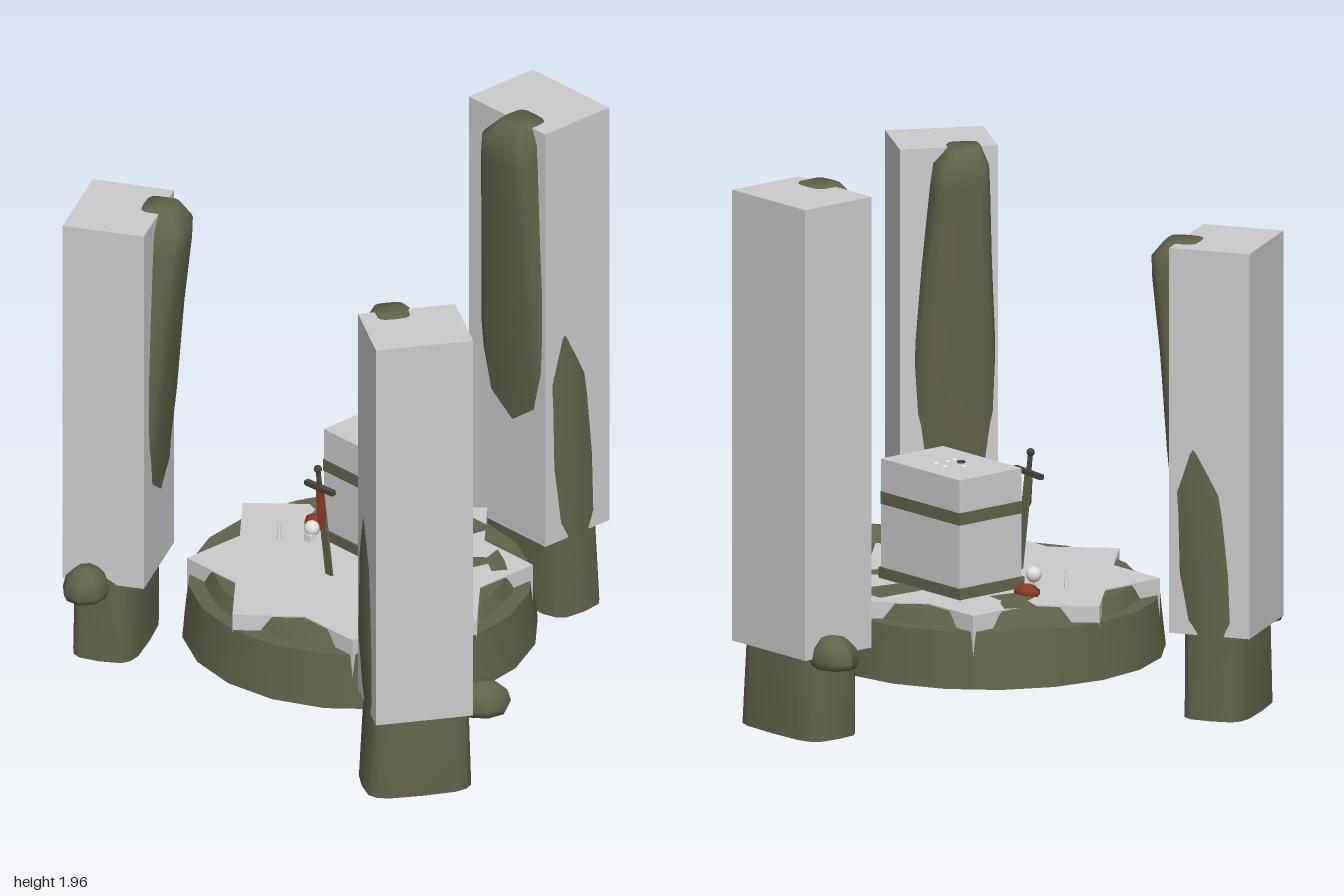
import * as THREE from 'three';

const mat = (name, color) => Object.assign(new THREE.MeshStandardMaterial({ color }), { name });

export function createModel() {
  const model = new THREE.Group();
  model.name = 'stoneShrine';
  const pale = mat('paleStone', 0xcccccc);
  const moss = mat('mossStone', 0x62634a);
  const red = mat('redCloth', 0x8a3a22);
  const bone = mat('bone', 0xe2e2de);
  const iron = mat('darkIron', 0x47473a);
  const cloth = mat('clothSheet', 0x8a3a22);
  cloth.side = THREE.DoubleSide;

  function add(name, geo, material, x = 0, y = 0, z = 0, parent = model) {
    const m = new THREE.Mesh(geo, material);
    m.name = name;
    m.position.set(x, y, z);
    parent.add(m);
    return m;
  }
  const box = (w, h, d) => new THREE.BoxGeometry(w, h, d);

  // Round platform: tapered wall, ledge and raised step
  const cx = -0.036, cz = 0.138;
  const band = (top, bottom, h) => new THREE.CylinderGeometry(top, bottom, h, 20, 1, true);
  const flat = (inner, outer) => new THREE.RingGeometry(inner, outer, 20).rotateX(-Math.PI / 2).rotateY(Math.PI / 2);
  add('platformWall', band(0.612, 0.634, 0.205), moss, cx, 0.2575, cz);
  add('platformLedge', flat(0.5, 0.612), moss, cx, 0.36, cz);
  add('platformStep', band(0.53, 0.555, 0.055), moss, cx, 0.3875, cz);
  add('platformTop', flat(0.3, 0.53), moss, cx, 0.415, cz);

  // Eight-pointed slab made of two crossed squares
  for (const turn of [0, Math.PI / 4]) {
    add('starSlab', box(0.868, 0.26, 0.868), pale, cx, 0.29, cz).rotation.y = turn;
  }

  // Moss patches on the slab: outlines in x, z
  const patches = [
    [[-0.06, -0.38], [0.1, -0.38], [0.06, -0.18], [-0.07, -0.18]],
    [[0.23, -0.28], [0.31, -0.24], [0.37, -0.2], [0.34, -0.15], [0.29, -0.18], [0.27, -0.11], [0.19, -0.15], [0.25, -0.21]],
    [[-0.47, -0.15], [-0.4, -0.11], [-0.37, -0.08], [-0.29, -0.07], [-0.31, 0.03], [-0.41, 0.04], [-0.43, -0.01], [-0.52, -0.04]],
    [[0.25, 0.21], [0.34, 0.22], [0.33, 0.27], [0.43, 0.24], [0.4, 0.32], [0.35, 0.42], [0.22, 0.36], [0.28, 0.29]],
  ];
  for (const p of patches) {
    const shape = new THREE.Shape(p.map(([x, z]) => new THREE.Vector2(x, -z)));
    add('mossPatch', new THREE.ShapeGeometry(shape).rotateX(-Math.PI / 2), moss, 0, 0.423, 0);
  }

  // Altar block with a plinth and a band
  const ax = -0.04, az = -0.033;
  add('altar', box(0.43, 0.435, 0.288), pale, ax, 0.6375, az);
  add('altarPlinth', box(0.446, 0.04, 0.3), moss, ax, 0.44, az);
  add('altarBand', box(0.434, 0.045, 0.292), moss, ax, 0.713, az);
  const pebbles = [[-0.066, -0.085], [-0.012, -0.08], [-0.11, -0.032], [-0.018, -0.032], [-0.012, 0.005]];
  for (const [x, z] of pebbles) add('altarPebble', new THREE.SphereGeometry(0.013, 8, 6).scale(1, 0.4, 1), bone, x, 0.856, z);
  add('altarStud', new THREE.CylinderGeometry(0.015, 0.015, 0.008, 8), iron, -0.055, 0.857, 0);

  // Leaning standing stone lofted through rounded sections: y, centre x, centre z, half width, half depth
  const sections = [
    [0, 0.005, -0.01, 0.22, 0.125], [0.31, 0, -0.005, 0.205, 0.125],
    [0.6, 0.028, 0.02, 0.19, 0.125], [0.85, 0.028, 0.035, 0.182, 0.125],
    [1.1, 0.025, 0.06, 0.176, 0.125], [1.5, 0.032, 0.09, 0.145, 0.125],
    [1.8, 0.042, 0.125, 0.12, 0.12], [1.89, 0.046, 0.14, 0.11, 0.108], [1.955, 0.065, 0.14, 0.065, 0.06],
  ];
  function stoneGeometry(scaleY, scaleX) {
    const n = 16, pos = [], index = [];
    const soft = (v) => Math.sign(v) * Math.sqrt(Math.abs(v));
    const ring = ([y, x, z, w, d]) => {
      for (let i = 0; i < n; i++) {
        const a = (i / n) * Math.PI * 2;
        pos.push((x + w * soft(Math.cos(a))) * scaleX, y < 0.4 ? y : y * scaleY, z + d * soft(Math.sin(a)));
      }
    };
    sections.forEach(ring);
    for (let s = 0; s < sections.length - 1; s++) {
      for (let i = 0; i < n; i++) {
        const a = s * n + i, b = s * n + (i + 1) % n;
        index.push(a, a + n, b, b, a + n, b + n);
      }
    }
    const top = (sections.length - 1) * n, foot = pos.length / 3;
    ring(sections[0]);
    for (let i = 1; i < n - 1; i++) {
      index.push(top, top + i + 1, top + i, foot, foot + i, foot + i + 1);
    }
    const geo = new THREE.BufferGeometry();
    geo.setAttribute('position', new THREE.Float32BufferAttribute(pos, 3));
    geo.setIndex(index);
    geo.computeVertexNormals();
    return geo;
  }

  // Half-buried boulder: the underside is pressed flat
  function boulderGeometry() {
    const geo = new THREE.SphereGeometry(0.1, 8, 6).scale(1, 0.9, 0.85);
    const p = geo.attributes.position;
    for (let i = 0; i < p.count; i++) p.setY(i, Math.max(p.getY(i), -0.025));
    geo.computeVertexNormals();
    return geo;
  }

  // Three pillars facing the platform: x, z, turn, width, depth, top
  const pillars = [
    ['backPillar', -0.037, -0.725, 0, 0.4, 0.308, 1.95],
    ['rightPillar', -0.785, 0.613, 2.11, 0.375, 0.3, 1.71],
    ['leftPillar', 0.735, 0.578, -2.094, 0.353, 0.29, 1.8],
  ];
  for (const [name, x, z, turn, w, d, top] of pillars) {
    const g = new THREE.Group();
    g.name = name;
    g.position.set(x, 0, z);
    g.rotation.y = turn;
    model.add(g);
    add('pillarBlock', box(w, top - 0.305, d), pale, 0, (top + 0.305) / 2, 0, g);
    add('standingStone', stoneGeometry(top / 1.95, w / 0.4), moss, 0, 0, 0, g);
    add('boulder', boulderGeometry(), moss, -0.235, 0.3, -0.05, g);
  }

  // Sword planted in the slab, with a hanging cloth
  const sword = new THREE.Group();
  sword.name = 'sword';
  sword.position.set(-0.033, 0.42, 0.288);
  sword.rotation.set(0.075, 0, 0.06);
  model.add(sword);
  add('blade', box(0.034, 0.345, 0.008), moss, 0, 0.1725, 0, sword);
  add('crossguard', box(0.145, 0.018, 0.02), iron, 0, 0.35, 0, sword);
  add('grip', new THREE.CylinderGeometry(0.009, 0.009, 0.075, 8), iron, 0, 0.39, 0, sword);
  add('pommel', new THREE.SphereGeometry(0.015, 8, 6), iron, 0, 0.425, 0, sword);
  const rag = new THREE.Shape([[-0.035, 0], [0.01, 0], [0.035, -0.09], [0.025, -0.145], [-0.005, -0.12]]
    .map(([x, y]) => new THREE.Vector2(x, y)));
  add('hangingCloth', new THREE.ShapeGeometry(rag), cloth, -0.035, 0.765, 0.32).rotation.x = -0.15;

  // Offerings around the altar
  add('redBundle', new THREE.SphereGeometry(0.06, 6, 5).scale(1, 0.55, 0.72), red, -0.345, 0.425, 0.06);
  add('skull', new THREE.SphereGeometry(0.029, 10, 8), bone, -0.275, 0.465, 0.15);
  add('skullJaw', box(0.03, 0.028, 0.03), bone, -0.268, 0.438, 0.165);
  add('bowl', new THREE.CylinderGeometry(0.057, 0.035, 0.032, 8), moss, 0.225, 0.437, 0.117);
  add('bowlRim', new THREE.TorusGeometry(0.052, 0.006, 5, 8).rotateX(Math.PI / 2), iron, 0.225, 0.453, 0.117);
  add('bowlContents', new THREE.CylinderGeometry(0.018, 0.018, 0.006, 6), red, 0.228, 0.455, 0.122);
  for (const [x, z, h] of [[0.26, 0.21, 0.08], [0.305, 0.18, 0.065], [-0.36, 0.23, 0.07]]) {
    add('candle', new THREE.CylinderGeometry(0.003, 0.009, h, 8), bone, x, 0.42 + h / 2, z);
  }
  for (const [x, z] of [[0.152, 0.18], [0.176, 0.21]]) {
    add('berry', new THREE.SphereGeometry(0.012, 8, 6), red, x, 0.428, z);
  }
  return model;
}
